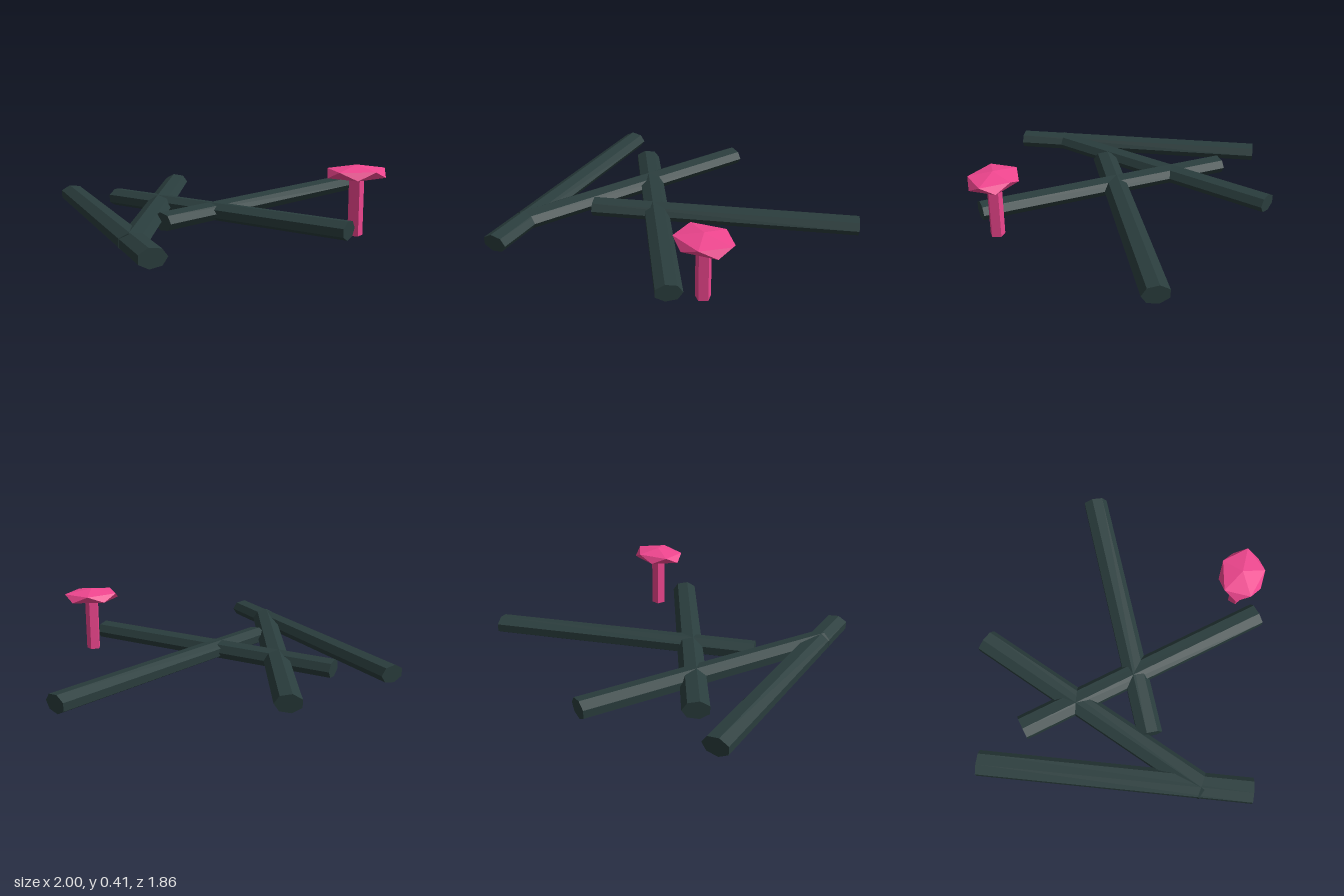
import * as THREE from 'three';

const woodMaterial = new THREE.MeshStandardMaterial({ color: 0x2a3d3d, flatShading: true });
const pinkMaterial = new THREE.MeshStandardMaterial({ color: 0xf0468f, flatShading: true });

// Seven-sided log lying flat, slightly squashed; angle turns it about the vertical
function makeLog(x, z, degrees) {
  const geometry = new THREE.CylinderGeometry(0.0795, 0.0795, 1.645, 7);
  geometry.rotateZ(Math.PI / 2);
  geometry.translate(0, 0, -0.004);
  geometry.scale(1, 0.69, 1);
  const log = new THREE.Mesh(geometry, woodMaterial);
  log.position.set(x, 0.073, z);
  log.rotation.y = THREE.MathUtils.degToRad(degrees);
  return log;
}

// Small mushroom: five-sided stem and a flattened faceted cap
function makeMushroom() {
  const mushroom = new THREE.Group();
  mushroom.name = 'mushroom';

  const stem = new THREE.Mesh(new THREE.CylinderGeometry(0.045, 0.045, 0.34, 5), pinkMaterial);
  stem.name = 'mushroomStem';
  stem.position.y = 0.17;

  // Stand the icosahedron on one corner before flattening it
  const capGeometry = new THREE.IcosahedronGeometry(1, 0);
  capGeometry.rotateZ(-Math.atan(2 / (1 + Math.sqrt(5))));
  capGeometry.scale(0.195, 0.048, 0.155);
  const cap = new THREE.Mesh(capGeometry, pinkMaterial);
  cap.name = 'mushroomCap';
  cap.position.y = 0.357;

  mushroom.add(stem, cap);
  return mushroom;
}

export function createModel() {
  const model = new THREE.Group();
  model.name = 'fallenLogs';

  // Centre x, centre z, turn in degrees
  const logs = [
    [-0.805, 0.096, 98.6],
    [-0.456, -0.137, 70],
    [-0.115, 0.094, 131.3],
    [0.228, -0.132, 26.9],
  ];
  logs.forEach(([x, z, degrees], i) => {
    const log = makeLog(x, z, degrees);
    log.name = `log${i + 1}`;
    model.add(log);
  });

  const mushroom = makeMushroom();
  mushroom.position.set(0.537, 0, 0.555);
  model.add(mushroom);
  return model;
}
